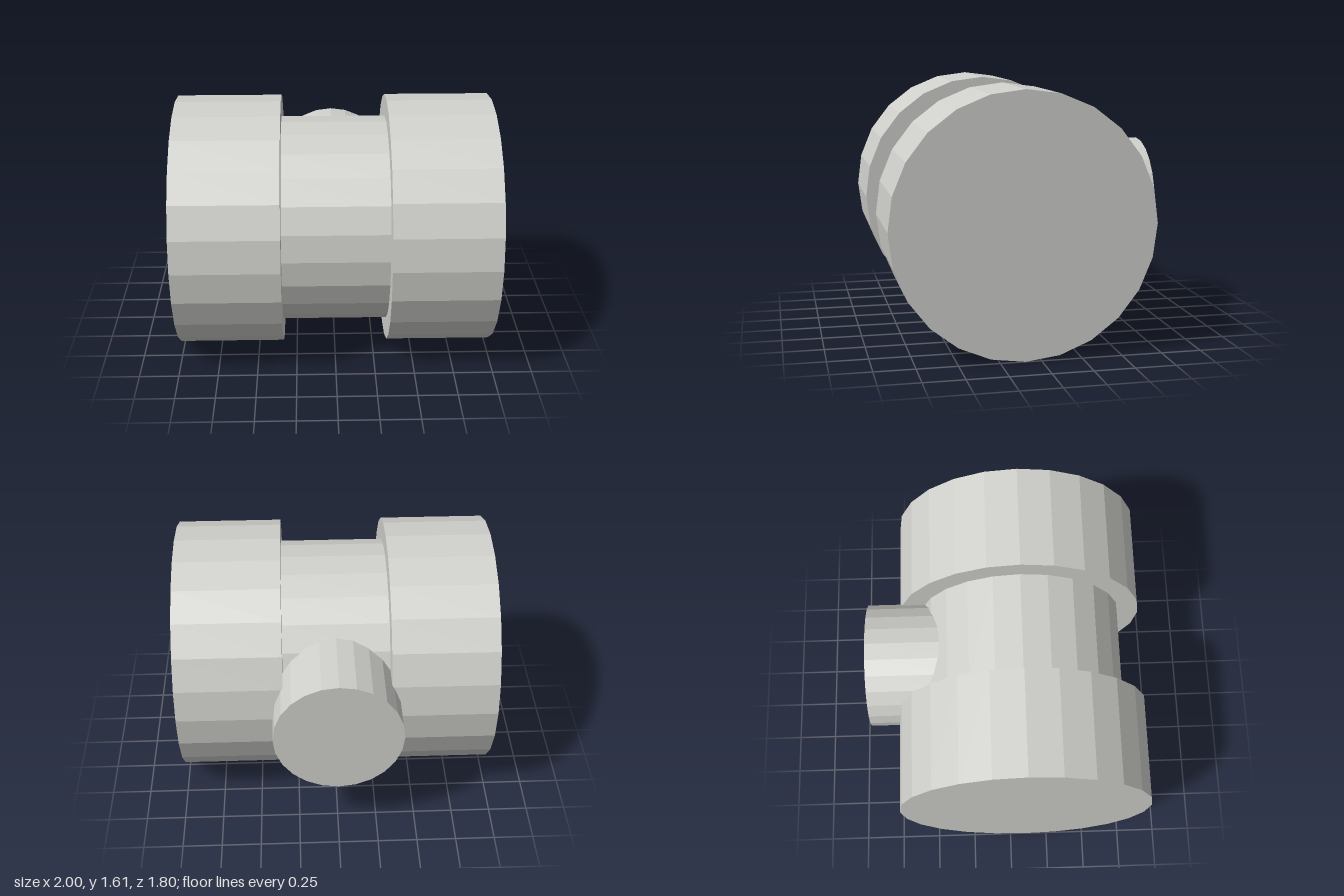
import * as THREE from 'three';

const SIDES = 24;
const AXIS_Y = 0.805;
const AXIS_Z = 0.097;

export function createModel() {
  const model = new THREE.Group();
  model.name = 'steppedRoller';

  const paleGrey = new THREE.MeshStandardMaterial({ color: 0xcfd0cb, flatShading: true });
  paleGrey.name = 'paleGrey';

  // Faceted cylinder lying along x or z
  function addCylinder(name, radius, length, axis, x, z) {
    const geometry = new THREE.CylinderGeometry(radius, radius, length, SIDES);
    if (axis === 'x') geometry.rotateZ(Math.PI / 2);
    else geometry.rotateX(Math.PI / 2);
    const mesh = new THREE.Mesh(geometry, paleGrey);
    mesh.name = name;
    mesh.position.set(x, AXIS_Y, z);
    model.add(mesh);
  }

  // Wide drums at both ends
  for (const [name, side] of [['leftDrum', 1], ['rightDrum', -1]]) {
    addCylinder(name, 0.805, 0.666, 'x', side * 0.667, AXIS_Z);
  }

  // Narrower core between the drums
  addCylinder('core', 0.665, 0.668, 'x', 0, AXIS_Z);

  // Round stub pointing backwards, rooted inside the core
  addCylinder('rearStub', 0.4025, 0.6, 'z', 0, -0.602);

  return model;
}
